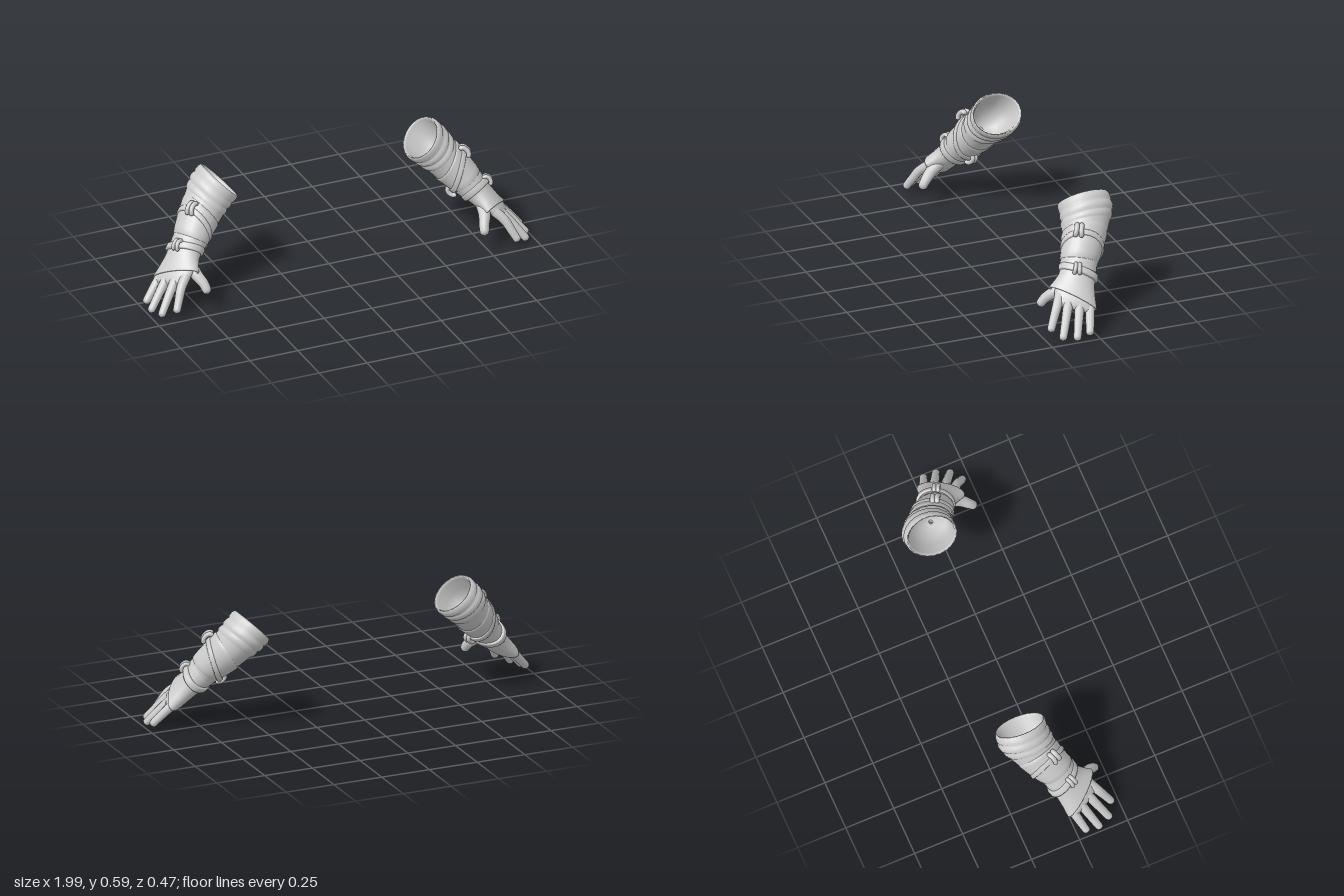
import * as THREE from 'three';
import { mergeVertices } from 'three/addons/utils/BufferGeometryUtils.js';

const material = new THREE.MeshStandardMaterial({ color: 0xcccccc, roughness: 0.8, side: THREE.DoubleSide });

function add(parent, name, geometry) {
  const mesh = new THREE.Mesh(geometry, material);
  mesh.name = name;
  parent.add(mesh);
}

// Skin over elliptical rings; row = [along, halfWidth, halfThickness, shiftX, shiftZ, tiltX, tiltZ]
function loft(rows, sides = 24) {
  const pos = [], index = [];
  for (const [d, rw, rn, cx = 0, cz = 0, tx = 0, tz = 0] of rows) {
    for (let i = 0; i < sides; i++) {
      const c = Math.cos((i / sides) * Math.PI * 2), s = Math.sin((i / sides) * Math.PI * 2);
      pos.push(cx + rw * c, d + tx * c + tz * s, cz + rn * s);
    }
  }
  for (let r = 0; r < rows.length - 1; r++) {
    for (let i = 0; i < sides; i++) {
      const a = r * sides + i, b = r * sides + ((i + 1) % sides);
      index.push(a, a + sides, b, b, a + sides, b + sides);
    }
  }
  const g = new THREE.BufferGeometry();
  g.setAttribute('position', new THREE.Float32BufferAttribute(pos, 3));
  g.setIndex(index);
  g.computeVertexNormals();
  return g;
}

// Tapered tube with a rounded tip (and optionally a rounded start)
function taperedTube(points, r0, r1, roundStart, cap) {
  const curve = new THREE.CatmullRomCurve3(points.map((p) => new THREE.Vector3(...p)));
  const segs = 24, sides = 12;
  const g = new THREE.TubeGeometry(curve, segs, 1, sides);
  const pos = g.attributes.position, v = new THREE.Vector3();
  for (let i = 0; i <= segs; i++) {
    const t = i / segs, c = curve.getPointAt(t);
    let r = r0 + (r1 - r0) * t;
    const e = roundStart ? Math.min(t, 1 - t) : 1 - t;
    if (e < cap) r *= Math.sqrt(Math.max(0, 1 - (1 - e / cap) ** 2));
    for (let j = 0; j <= sides; j++) {
      const k = i * (sides + 1) + j;
      v.fromBufferAttribute(pos, k).sub(c).multiplyScalar(r).add(c);
      pos.setXYZ(k, v.x, v.y, v.z);
    }
  }
  g.deleteAttribute('normal');
  g.deleteAttribute('uv');
  const merged = mergeVertices(g, 1e-5);
  merged.computeVertexNormals();
  return merged;
}

// Flat band around the arm with bevelled edges
function strap(d, rw, rn, half, cx, cz, tx, tz, thick) {
  return loft([[-1, -0.6], [-0.9, 0.6], [-0.6, 1], [0.6, 1], [0.9, 0.6], [1, -0.6]].map(
    ([u, h]) => [d + u * half, rw + h * thick, rn + h * thick, cx, cz, tx, tz]));
}

// Pair of short arched loops fastening a strap
function toggle(parent, name, x, d, z, out, size) {
  const group = new THREE.Group();
  group.name = name;
  for (const s of [-1, 1]) {
    const px = x + s * 0.012 * size;
    add(group, 'toggleLoop', taperedTube([
      [px, d - 0.032 * size, z - out * 0.012], [px, d - 0.022 * size, z + out * 0.007], [px, d, z + out * 0.012],
      [px + s * 0.002, d + 0.022 * size, z + out * 0.006], [px + s * 0.003, d + 0.034 * size, z - out * 0.01],
    ], 0.0125 * size, 0.0125 * size, true, 0.12));
  }
  parent.add(group);
}

// Glove in its own frame: x across toward the thumb, y toward the fingertips, z out of the back of the hand
function createGlove() {
  const glove = new THREE.Group();

  // Sleeve with hollow opening cut at a slant, and rolled folds
  add(glove, 'sleeve', loft([
    [0.16, 0.01, 0.01, -0.02], [0.155, 0.07, 0.06, -0.02, 0, 0.02], [0.08, 0.1, 0.085, -0.016, 0, 0.036],
    [0.012, 0.106, 0.094, -0.004, 0, 0.046], [0, 0.112, 0.1, -0.001, 0, 0.046],
    [0, 0.117, 0.106, -0.001, 0, 0.046], [0.012, 0.121, 0.112, -0.007, 0, 0.046],
    [0.032, 0.122, 0.112, -0.015, 0, 0.046], [0.04, 0.117, 0.106, -0.017, 0, 0.046],
    [0.046, 0.121, 0.109, -0.02, 0, 0.046, 0.004], [0.058, 0.125, 0.111, -0.024, 0, 0.045, 0.005],
    [0.073, 0.124, 0.109, -0.026, 0, 0.043, 0.006], [0.08, 0.118, 0.102, -0.027, 0, 0.042, 0.006],
    [0.086, 0.12, 0.104, -0.028, 0, 0.041, 0.006], [0.1, 0.122, 0.106, -0.028, 0, 0.04, 0.006],
    [0.115, 0.119, 0.103, -0.028, 0, 0.038, 0.006], [0.122, 0.114, 0.097, -0.028, 0, 0.035, 0.004],
    [0.2, 0.104, 0.093, -0.025, 0, 0.015], [0.28, 0.094, 0.082, -0.018], [0.34, 0.087, 0.073, -0.012],
    [0.4, 0.08, 0.06, -0.01],
  ]));

  // Wrapped forearm panel, overlapping the sleeve at a slant
  add(glove, 'forearmWrap', loft([
    [0.168, 0.1, 0.09, -0.025, 0.002, 0.022, -0.025], [0.17, 0.109, 0.098, -0.025, 0.002, 0.022, -0.025],
    [0.185, 0.109, 0.099, -0.025, 0.002, 0.018, -0.022], [0.24, 0.102, 0.092, -0.022, 0.002, 0.008, -0.01],
    [0.29, 0.096, 0.085, -0.016, 0.002, 0, 0.004], [0.314, 0.093, 0.08, -0.012, 0.001, 0, 0.008],
    [0.317, 0.085, 0.073, -0.012, 0, 0, 0.008],
  ]));

  // Gauntlet flaring out over the hand
  add(glove, 'gauntlet', loft([
    [0.3, 0.088, 0.077, -0.012, 0, 0, 0.006], [0.34, 0.089, 0.075, -0.012, 0, -0.008],
    [0.385, 0.086, 0.066, -0.012, 0, -0.018], [0.42, 0.09, 0.059, -0.01, 0, -0.024],
    [0.46, 0.102, 0.054, -0.006, 0, -0.034], [0.503, 0.119, 0.05, -0.001, 0.001, -0.043],
    [0.509, 0.119, 0.048, -0.001, 0.001, -0.043], [0.509, 0.112, 0.043, -0.001, 0.001, -0.043],
    [0.47, 0.092, 0.042, -0.006, 0, -0.034],
  ]));

  // Straps and their fastenings
  add(glove, 'diagonalStrap', strap(0.25, 0.1, 0.091, 0.015, -0.021, 0.006, 0.004, -0.05, 0.006));
  add(glove, 'wristStrap', strap(0.375, 0.089, 0.069, 0.018, -0.015, 0, -0.02, 0.004, 0.008));
  toggle(glove, 'upperToggle', 0.006, 0.196, 0.106, 1, 0.95);
  toggle(glove, 'wristToggle', -0.006, 0.38, 0.077, 1, 0.8);
  toggle(glove, 'palmToggle', -0.008, 0.3, -0.089, -1, 0.85);

  // Hand
  add(glove, 'palm', loft([
    [0.43, 0.08, 0.045, -0.007, 0, -0.025], [0.49, 0.099, 0.041, -0.009, 0.002, -0.025],
    [0.525, 0.1, 0.034, -0.011, 0.004, -0.022], [0.55, 0.095, 0.026, -0.013, 0.006, -0.016],
    [0.563, 0.085, 0.015, -0.013, 0.007, -0.012], [0.567, 0.01, 0.003, -0.013, 0.007],
  ]));

  // Fingers: [name, base x, base z, tip x, tip along, tip z]
  const fingers = [
    ['indexFinger', 0.063, 0.004, 0.09, 0.686, -0.016],
    ['middleFinger', 0.016, 0.007, 0.028, 0.73, 0.004],
    ['ringFinger', -0.034, 0.006, -0.041, 0.724, 0.01],
    ['littleFinger', -0.082, -0.002, -0.099, 0.687, 0.004],
  ];
  for (const [name, bx, bz, tx, ty, tz] of fingers) {
    add(glove, name, taperedTube([
      [bx, 0.5, bz], [bx + (tx - bx) * 0.35, 0.565, bz + 0.005],
      [bx + (tx - bx) * 0.7, 0.5 + (ty - 0.5) * 0.68, (tz + bz) * 0.5 + 0.003], [tx, ty, tz],
    ], 0.0255, 0.0185, false, 0.08));
  }
  add(glove, 'thumb', taperedTube([
    [0.035, 0.43, -0.01], [0.09, 0.472, -0.035], [0.13, 0.498, -0.064], [0.156, 0.532, -0.093],
  ], 0.035, 0.021, false, 0.12));

  // Place the glove along the lowered, outstretched arm
  const along = new THREE.Vector3(0.61, -0.71, 0.355).normalize();
  const back = new THREE.Vector3(-0.4, 0.12, 0.91).cross(along).normalize();
  const across = new THREE.Vector3().crossVectors(along, back);
  glove.quaternion.setFromRotationMatrix(new THREE.Matrix4().makeBasis(across, along, back));
  glove.position.set(0.525, 0.515, -0.105);
  return glove;
}

export function createModel() {
  const model = new THREE.Group();
  model.name = 'gloves';
  for (const [name, side] of [['leftGlove', 1], ['rightGlove', -1]]) {
    const holder = new THREE.Group();
    holder.name = name;
    holder.scale.x = side;
    holder.add(createGlove());
    model.add(holder);
  }
  return model;
}
